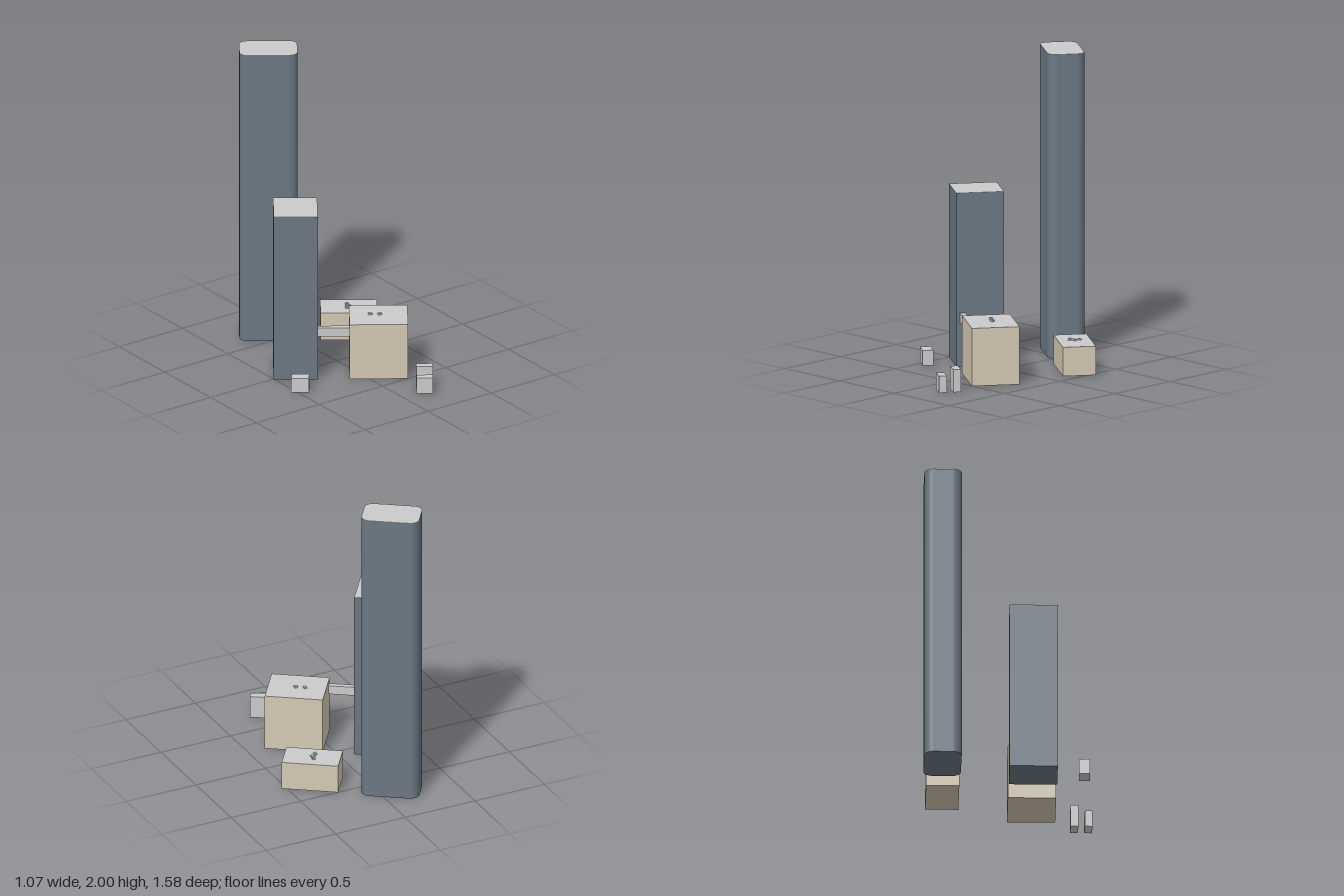
import * as THREE from 'three';

const grey = new THREE.MeshStandardMaterial({ color: 0xcccccc, flatShading: true });
const slate = new THREE.MeshStandardMaterial({ color: 0x6b7884, flatShading: true });
const beige = new THREE.MeshStandardMaterial({ color: 0xd5c9b4, flatShading: true });

const ROOF = 0.003; // thickness of the grey roof sheet
const rad = THREE.MathUtils.degToRad;

// Rectangular plan with optional rounded corners
function plan(w, d, r) {
  const s = new THREE.Shape();
  const x = w / 2 - r, y = d / 2 - r;
  if (r === 0) {
    s.moveTo(-x, -y).lineTo(x, -y).lineTo(x, y).lineTo(-x, y).closePath();
    return s;
  }
  s.absarc(x, y, r, 0, Math.PI / 2);
  s.absarc(-x, y, r, Math.PI / 2, Math.PI);
  s.absarc(-x, -y, r, Math.PI, Math.PI * 1.5);
  s.absarc(x, -y, r, Math.PI * 1.5, Math.PI * 2);
  s.closePath();
  return s;
}

// Upright prism of a plan, from height y0 to y1
function prism(name, shape, y0, y1, material) {
  const g = new THREE.ExtrudeGeometry(shape, { depth: y1 - y0, bevelEnabled: false, curveSegments: 6 });
  g.rotateX(-Math.PI / 2);
  const mesh = new THREE.Mesh(g, material);
  mesh.name = name;
  mesh.position.y = y0;
  return mesh;
}

// Walls plus a grey roof, turned to the street grid
function building({ name, x, z, w, d, y0 = 0, y1, r = 0, angle = 35, material = grey }) {
  const group = new THREE.Group();
  group.name = name;
  const shape = plan(w, d, r);
  if (material === grey) {
    group.add(prism(name + 'Body', shape, y0, y1, grey));
  } else {
    group.add(prism(name + 'Walls', shape, y0, y1 - ROOF, material));
    group.add(prism(name + 'Roof', shape, y1 - ROOF, y1, grey));
  }
  group.position.set(x, 0, z);
  group.rotation.y = -rad(angle);
  return group;
}

export function createModel() {
  const model = new THREE.Group();
  model.name = 'cityBlock';

  const parts = [
    // High-rises
    { name: 'tallTower', x: -0.1, z: -0.61, w: 0.374, d: 0.24, y1: 2, r: 0.058, angle: 34.5, material: slate },
    { name: 'midTower', x: -0.301, z: -0.036, w: 0.283, d: 0.31, y1: 1.14, material: slate },
    // Low blocks
    { name: 'frontBlock', x: 0.138, z: 0.267, w: 0.376, d: 0.31, y1: 0.38, material: beige },
    { name: 'sideBlock', x: 0.32, z: -0.309, w: 0.366, d: 0.214, y1: 0.19, material: beige },
    // Raised walkway between the mid tower and the front block
    { name: 'skyBridge', x: -0.167, z: 0.196, w: 0.213, d: 0.034, y0: 0.29, y1: 0.35 },
    // Small street kiosks
    { name: 'kioskRight', x: -0.468, z: 0.248, w: 0.115, d: 0.07, y1: 0.1, angle: 37 },
    { name: 'kioskTall', x: 0.216, z: 0.662, w: 0.107, d: 0.05, y1: 0.15, angle: 33 },
    { name: 'kioskShort', x: 0.164, z: 0.737, w: 0.106, d: 0.05, y1: 0.11, angle: 34 },
  ];
  for (const p of parts) model.add(building(p));

  // Rooftop units: x, z, width, depth, roof height, unit height
  const units = [
    [0.1, 0.229, 0.018, 0.02, 0.38, 0.012],
    [0.149, 0.265, 0.022, 0.02, 0.38, 0.012],
    [0.329, -0.343, 0.02, 0.014, 0.19, 0.01],
    [0.316, -0.309, 0.03, 0.02, 0.19, 0.01],
    [0.291, -0.293, 0.014, 0.02, 0.19, 0.015],
  ];
  units.forEach(([x, z, w, d, y, h], i) => {
    const unit = new THREE.Mesh(new THREE.BoxGeometry(w, h, d), grey);
    unit.name = 'roofUnit' + (i + 1);
    unit.position.set(x, y + h / 2, z);
    model.add(unit);
  });

  return model;
}
